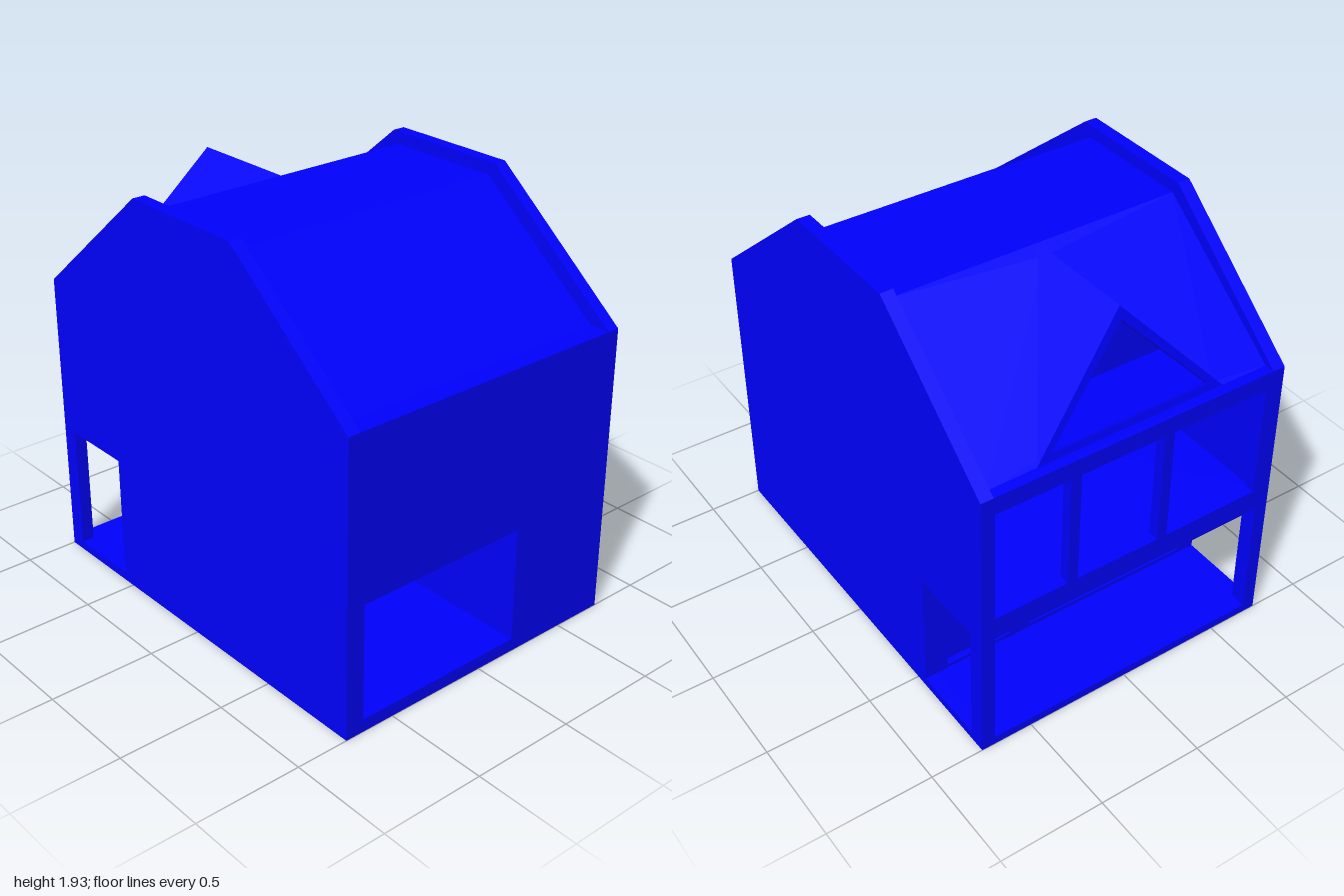
import * as THREE from 'three';

export function createModel() {
  const house = new THREE.Group();
  house.name = 'house';
  const mat = new THREE.MeshStandardMaterial({ color: 0x0000ff, flatShading: true, side: THREE.DoubleSide });

  const add = (name, geo) => {
    const mesh = new THREE.Mesh(geo, mat);
    mesh.name = name;
    house.add(mesh);
    return mesh;
  };
  const box = (name, x0, x1, y0, y1, z0, z1) =>
    add(name, new THREE.BoxGeometry(x1 - x0, y1 - y0, z1 - z0)
      .translate((x0 + x1) / 2, (y0 + y1) / 2, (z0 + z1) / 2));
  const poly = (pts) => pts.map(([a, b]) => new THREE.Vector2(a, b));
  const rect = (a0, a1, b0, b1) => [[a0, b0], [a1, b0], [a1, b1], [a0, b1]];
  const plate = (outline, holes, depth) => {
    const shape = new THREE.Shape(poly(outline));
    holes.forEach((h) => shape.holes.push(new THREE.Path(poly(h))));
    return new THREE.ExtrudeGeometry(shape, { depth, bevelEnabled: false });
  };
  // wall lying in the z-y plane, filling x0..x1
  const sideWall = (name, x0, x1, outline, holes) =>
    add(name, plate(outline, holes, x1 - x0).rotateY(-Math.PI / 2).translate(x1, 0, 0));

  const eave = 1.375, ridge = 1.875, inner = 0.69;

  // gable walls, each with a tall opening
  const gable = [[-1, 0], [1, 0], [1, eave], [0.31, 1.935], [-0.33, 1.935], [-1, eave]];
  const doorway = rect(-0.92, -0.56, 0.04, 0.63);
  add('frontWall', plate(gable, [doorway], 0.06).translate(0, 0, inner));
  add('backWall', plate(gable, [doorway], 0.06).translate(0, 0, -0.75));

  // long walls: one with a wide opening, one with the porch and three windows
  const passage = rect(-0.2, 0.66, 0.06, 0.61);
  sideWall('leftWall', 0.9, 1, rect(-inner, inner, 0, eave), [passage]);
  sideWall('windowWall', -1, -0.95, rect(-inner, inner, 0, eave), [
    rect(-0.685, 0.685, 0.04, 0.63),
    rect(-0.685, -0.33, 0.74, 1.29),
    rect(-0.28, 0.13, 0.74, 1.29),
    rect(0.18, 0.66, 0.74, 1.29),
  ]);

  // floors
  box('groundFloor', -0.95, 0.9, 0, 0.04, -inner, inner);
  box('upperFloor', -0.95, 0.9, 0.63, 0.72, -inner, inner);
  box('atticFloor', -0.95, 0.9, 1.29, 1.32, -inner, inner);

  // porch wall with the passage and a recessed door, then the passage lining
  sideWall('porchWall', -0.56, -0.5, rect(-inner, inner, 0.04, 0.63),
    [passage, rect(-0.635, -0.3, 0.06, 0.61)]);
  box('recessedDoor', -0.53, -0.5, 0.05, 0.62, -0.645, -0.29);
  box('passageWall', -0.5, 0.9, 0.04, 0.63, -0.25, -0.2);
  box('passageFloor', -0.5, 0.9, 0.04, 0.06, -0.2, inner);
  box('atticWall', -0.56, -0.53, 1.32, 1.64, -inner, inner);

  // roof: flat top, plain slope, and a slope cut open under the dormer
  box('roofTop', -0.3, 0.27, ridge - 0.03, ridge, -inner, inner);
  const slope = (x, dx, holes) => {
    const len = Math.hypot(dx, ridge - eave);
    return plate(rect(0, len, -inner, inner), holes(len), 0.03)
      .rotateX(Math.PI / 2)
      .rotateZ(Math.atan2(ridge - eave, dx))
      .translate(x, eave, 0);
  };
  add('dormerSlope', slope(-0.95, 0.65, (len) => [[[0.03, -0.42], [len - 0.06, 0], [0.03, 0.42]]]));
  add('plainSlope', slope(-0.9, 0.63, () => [])).rotation.y = Math.PI;

  // dormer: two triangular sides and a leaning triangular window frame
  for (const s of [1, -1]) {
    const corners = [[-0.95, eave, 0.46 * s], [-0.3, ridge, 0], [-0.83, ridge, 0]];
    if (s < 0) corners.reverse();
    const side = new THREE.BufferGeometry();
    side.setAttribute('position', new THREE.Float32BufferAttribute(corners.flat(), 3));
    side.computeVertexNormals();
    add(s > 0 ? 'dormerFrontSide' : 'dormerBackSide', side);
  }
  const rise = Math.hypot(0.12, ridge - eave);
  add('dormerFrame', plate([[-0.46, 0], [0.46, 0], [0, rise]],
    [[[-0.385, 0.035], [0.385, 0.035], [0, rise - 0.06]]], 0.02)
    .translate(0, 0, -0.02)
    .rotateY(-Math.PI / 2)
    .rotateZ(-Math.atan2(0.12, ridge - eave))
    .translate(-0.95, eave, 0));

  return house;
}
